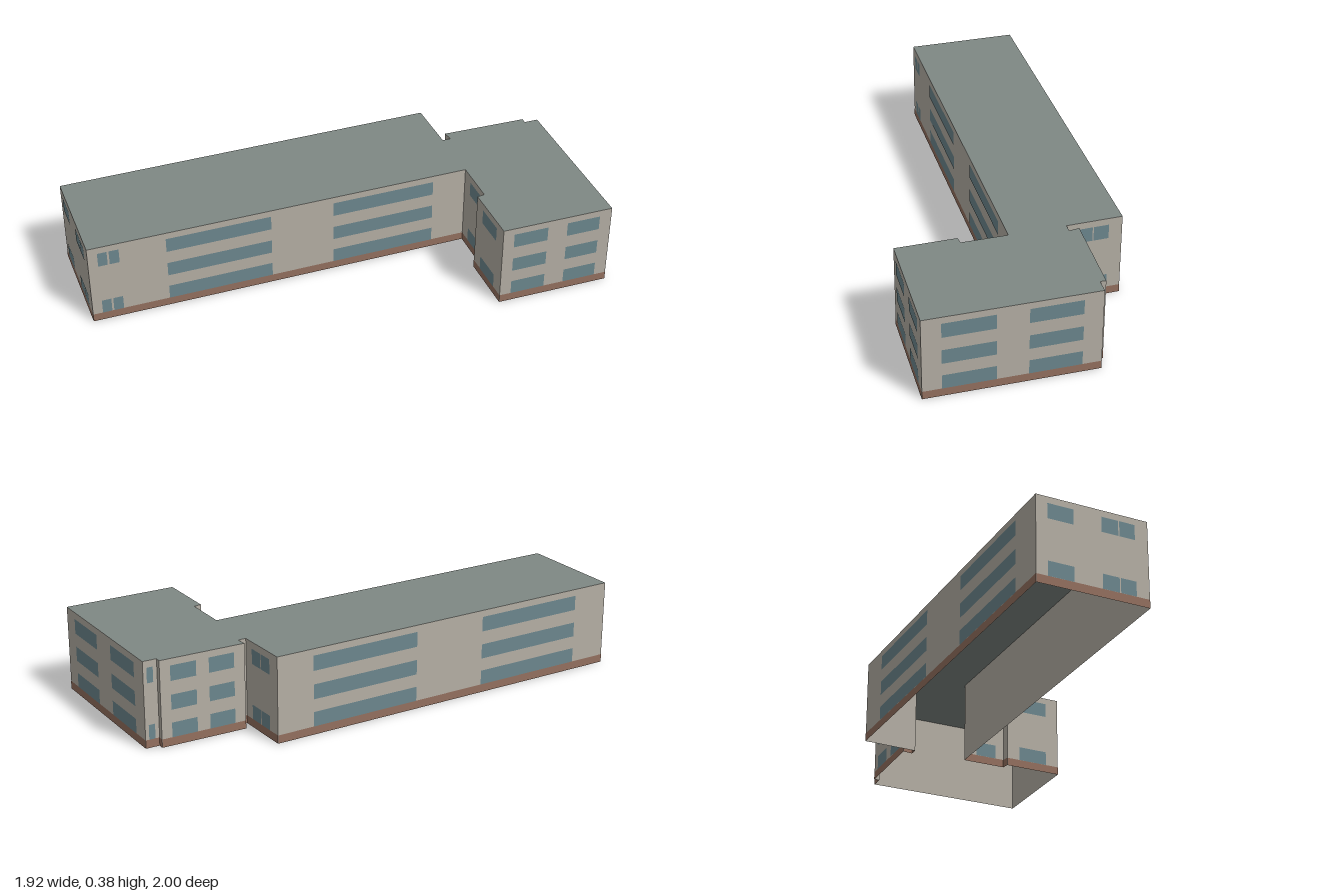
import * as THREE from 'three';

const HEIGHT = 0.375, BASE = 0.036;
const ROWS = [[0.036, 0.1], [0.156, 0.221], [0.28, 0.346]];
const ALL = [0, 1, 2], OUTER = [0, 2];

// Footprint corners (x, z), clockwise seen from above.
// Each wall runs to the next corner; spans are window starts and ends along it.
const WALLS = [
  { name: 'backWall', at: [-0.69, -1.0], spans: [[0.1, 0.4], [0.6, 0.9]], rows: ALL },
  { name: 'mainEndWall', at: [0.695, -0.065], spans: [[0.24, 0.51], [0.53, 0.8]], rows: OUTER },
  { name: 'notchWall', at: [0.565, 0.14] },
  { name: 'notchReturn', at: [0.595, 0.16] },
  { name: 'wingBackWall', at: [0.615, 0.12], spans: [[0.13, 0.43], [0.58, 0.88]], rows: ALL },
  { name: 'stepReturn', at: [0.92, 0.34] },
  { name: 'stepWall', at: [0.905, 0.36], spans: [[0.3, 0.75]], rows: OUTER },
  { name: 'wingSideWall', at: [0.955, 0.395], spans: [[0.11, 0.41], [0.59, 0.89]], rows: ALL },
  { name: 'wingFrontWall', at: [0.55, 1.0], spans: [[0.11, 0.41], [0.59, 0.9]], rows: ALL },
  { name: 'wingInnerWall', at: [0.145, 0.715], spans: [[0.24, 0.76]], rows: OUTER },
  { name: 'innerStep', at: [0.29, 0.495] },
  { name: 'linkWall', at: [0.32, 0.51], spans: [[0.2, 0.7]], rows: OUTER },
  { name: 'courtWall', at: [0.43, 0.345], spans: [[0.09, 0.363], [0.529, 0.802]], rows: ALL,
    extra: [[0.921, 0.946], [0.951, 0.975]] },
  { name: 'farEndWall', at: [-0.96, -0.6], spans: [[0.12, 0.26], [0.27, 0.42], [0.67, 0.9]], rows: OUTER },
];

export function createModel() {
  const model = new THREE.Group();
  model.name = 'building';
  const paint = (color, side = THREE.FrontSide) => new THREE.MeshStandardMaterial({ color, side });
  const wallMat = paint(0xb5afa5, THREE.DoubleSide);
  const roofMat = paint(0x7f8884, THREE.DoubleSide);
  const baseMat = paint(0x94705f);
  const glassMat = paint(0x6c878e);

  WALLS.forEach((wall, i) => {
    const [x0, z0] = wall.at;
    const [x1, z1] = WALLS[(i + 1) % WALLS.length].at;
    const dx = x1 - x0, dz = z1 - z0, length = Math.hypot(dx, dz);

    // Wall group: local +z points outward, local x runs from end to start
    const group = new THREE.Group();
    group.name = wall.name;
    group.position.set((x0 + x1) / 2, 0, (z0 + z1) / 2);
    group.rotation.y = Math.atan2(dz, -dx);
    model.add(group);

    const panel = (name, [a, b], [low, high], out, material) => {
      const mesh = new THREE.Mesh(new THREE.PlaneGeometry((b - a) * length, high - low), material);
      mesh.position.set((0.5 - (a + b) / 2) * length, (low + high) / 2, out);
      mesh.name = name;
      group.add(mesh);
    };

    panel('wall', [0, 1], [0, HEIGHT], 0, wallMat);
    panel('basePlinth', [0, 1], [0, BASE], 0.001, baseMat);
    for (const row of wall.rows ?? [])
      for (const span of wall.spans) panel('window', span, ROWS[row], 0.0015, glassMat);
    // Paired small windows on the first and top floors only
    for (const row of OUTER)
      for (const span of wall.extra ?? []) panel('smallWindow', span, ROWS[row], 0.0015, glassMat);
  });

  // Flat roof over the whole footprint; the underside of the building is open
  const outline = new THREE.Shape(WALLS.map(({ at: [x, z] }) => new THREE.Vector2(x, -z)));
  const roof = new THREE.Mesh(new THREE.ShapeGeometry(outline).rotateX(-Math.PI / 2), roofMat);
  roof.position.y = HEIGHT;
  roof.name = 'flatRoof';
  model.add(roof);

  return model;
}
